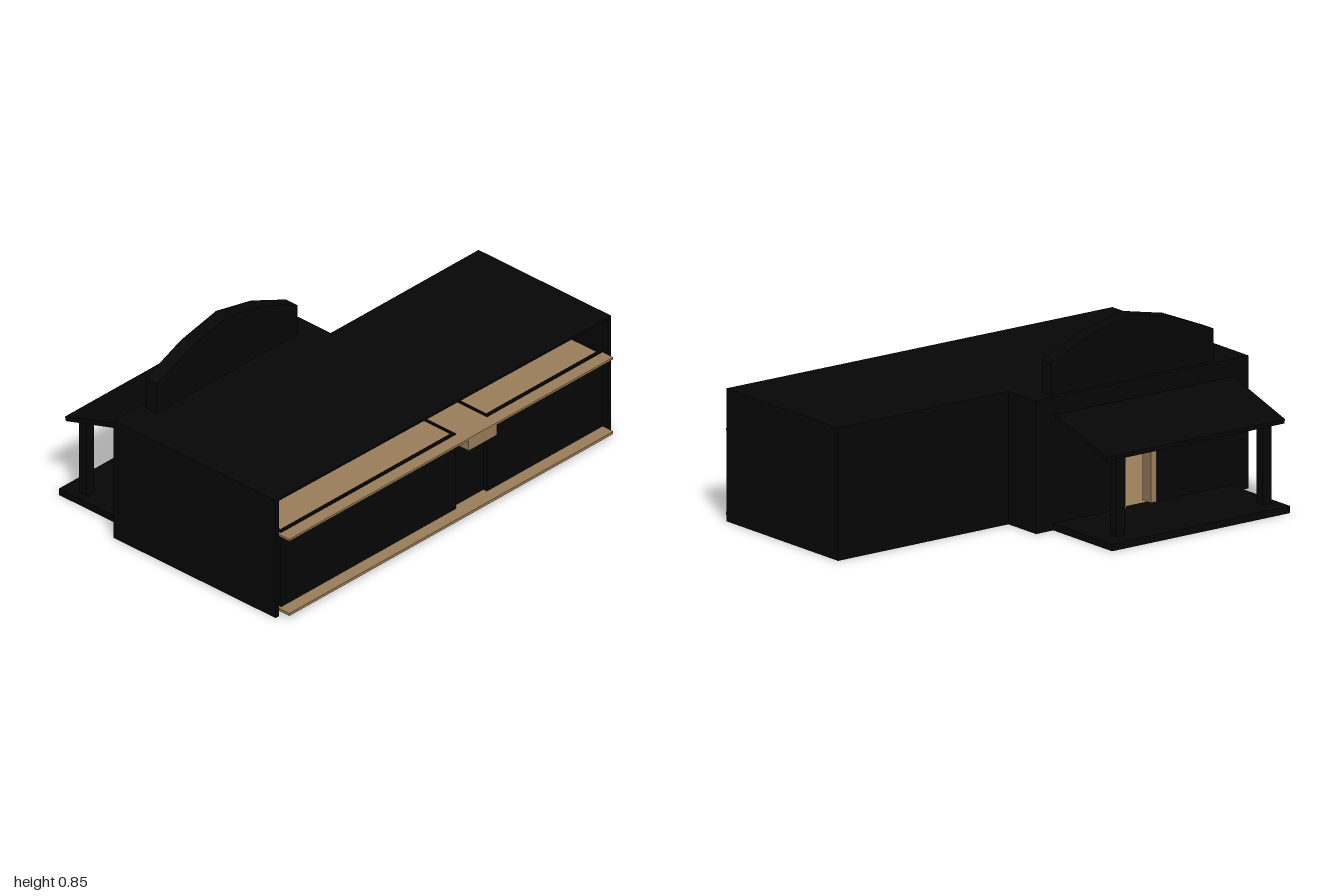
import * as THREE from 'three';

const dark = new THREE.MeshStandardMaterial({ color: 0x060606, side: THREE.DoubleSide });
const wood = new THREE.MeshStandardMaterial({ color: 0x9c7f5c, side: THREE.DoubleSide });

export function createModel() {
  const model = new THREE.Group();

  const add = (name, geometry, material) => {
    const mesh = new THREE.Mesh(geometry, material);
    mesh.name = name;
    model.add(mesh);
    return mesh;
  };
  // Box given by its limits on each axis
  const box = (name, x0, x1, y0, y1, z0, z1, material = dark) => {
    const mesh = add(name, new THREE.BoxGeometry(x1 - x0, y1 - y0, z1 - z0), material);
    mesh.position.set((x0 + x1) / 2, (y0 + y1) / 2, (z0 + z1) / 2);
    return mesh;
  };
  // Horizontal plate from an outline of [x, z] points
  const plate = (name, outline, y0, y1, material, hole) => {
    const toShape = ([x, z]) => new THREE.Vector2(x, -z);
    const shape = new THREE.Shape(outline.map(toShape));
    if (hole) shape.holes.push(new THREE.Path(hole.map(toShape)));
    const geometry = new THREE.ExtrudeGeometry(shape, { depth: y1 - y0, bevelEnabled: false });
    geometry.rotateX(-Math.PI / 2).translate(0, y0, 0);
    return add(name, geometry, material);
  };

  // Outer shell, open along the +x side
  const top = 0.57, t = 0.02;
  plate('mainRoof', [[-0.285, 1], [0.63, 1], [0.65, -1], [-0.1, -1], [-0.1, -0.11], [-0.285, -0.11]],
    top - 0.01, top, dark);
  box('frontWall', -0.285, 0.63, 0, top - 0.01, 1 - t, 1);
  box('backWall', -0.1, 0.65, 0, top - 0.01, -1, -1 + t);
  box('rearSideWall', -0.1, -0.1 + t, 0, top - 0.01, -1, -0.11);
  box('stepWall', -0.285, -0.1 + t, 0, top - 0.01, -0.11, -0.11 + t);

  // Porch side wall with its doorway
  box('porchWall', -0.285, -0.265, 0, top - 0.01, -0.11, 0.34);
  box('porchWall', -0.285, -0.265, 0, top - 0.01, 0.5, 1);
  box('doorLintel', -0.285, -0.265, 0.34, top - 0.01, 0.34, 0.5);
  box('doorSill', -0.285, -0.265, 0, 0.03, 0.34, 0.5);
  for (const z of [0.34, 0.5]) {
    box('doorJamb', -0.29, -0.235, 0.01, 0.34, z - 0.015, z + 0.015, wood);
  }

  // Floor with an octagonal shaft, and the ceiling over the rooms
  const inside = [[-0.265, 0.97], [0.68, 0.97], [0.68, -0.98], [-0.08, -0.98], [-0.08, -0.09], [-0.265, -0.09]];
  const shaft = [];
  for (let i = 0; i < 8; i++) {
    const a = (i + 0.5) * Math.PI / 4;
    shaft.push([0.22 + 0.135 * Math.cos(a), -0.72 + 0.135 * Math.sin(a)]);
  }
  plate('floor', inside, 0.018, 0.03, wood, shaft);
  plate('ceiling', inside, 0.38, 0.39, wood);
  const lining = add('shaftLining',
    new THREE.CylinderGeometry(0.135, 0.135, 0.35, 8, 1, true, Math.PI / 8), dark);
  lining.position.set(0.22, 0.205, -0.72);
  const cap = add('shaftCap', new THREE.CircleGeometry(0.135, 8, Math.PI / 8), dark);
  cap.rotation.x = Math.PI / 2;
  cap.position.set(0.22, 0.375, -0.72);

  // Two rooms along the open side; their walls just break through the ceiling
  for (const [z0, z1] of [[-0.09, 0.95], [-0.97, -0.29]]) {
    box('roomOuterWall', 0.605, 0.62, 0.03, 0.396, z0, z1);
    for (const z of [z0, z1]) box('roomEndWall', 0.1, 0.62, 0.03, 0.396, z - 0.006, z + 0.006);
  }
  box('recessWall', 0.585, 0.6, 0.03, 0.38, -0.29, -0.09);
  box('recessCanopy', 0.6, 0.68, 0.33, 0.38, -0.28, -0.11, wood);

  // Arched parapet above the porch wall
  const arch = new THREE.Shape([
    [-0.01, top - 0.01], [0.835, top - 0.01], [0.835, 0.71], [0.62, 0.8], [0.41, 0.845], [0.2, 0.8], [-0.01, 0.71],
  ].map(([z, y]) => new THREE.Vector2(-z, y)));
  const archGeometry = new THREE.ExtrudeGeometry(arch, { depth: 0.065, bevelEnabled: false });
  archGeometry.rotateY(Math.PI / 2).translate(-0.26, 0, 0);
  add('parapet', archGeometry, dark);

  // Porch deck, posts and sloping roof
  box('porchDeck', -0.68, -0.285, 0, 0.03, -0.02, 0.91);
  for (const z of [0.085, 0.85]) box('porchPost', -0.602, -0.558, 0.03, 0.4, z - 0.022, z + 0.022);
  const slope = new THREE.Shape([
    [-0.645, 0.395], [-0.64, 0.375], [-0.293, 0.48], [-0.3, 0.5],
  ].map(([x, y]) => new THREE.Vector2(x, y)));
  const slopeGeometry = new THREE.ExtrudeGeometry(slope, { depth: 0.93, bevelEnabled: false });
  slopeGeometry.translate(0, 0, -0.02);
  add('porchRoof', slopeGeometry, dark);

  return model;
}
